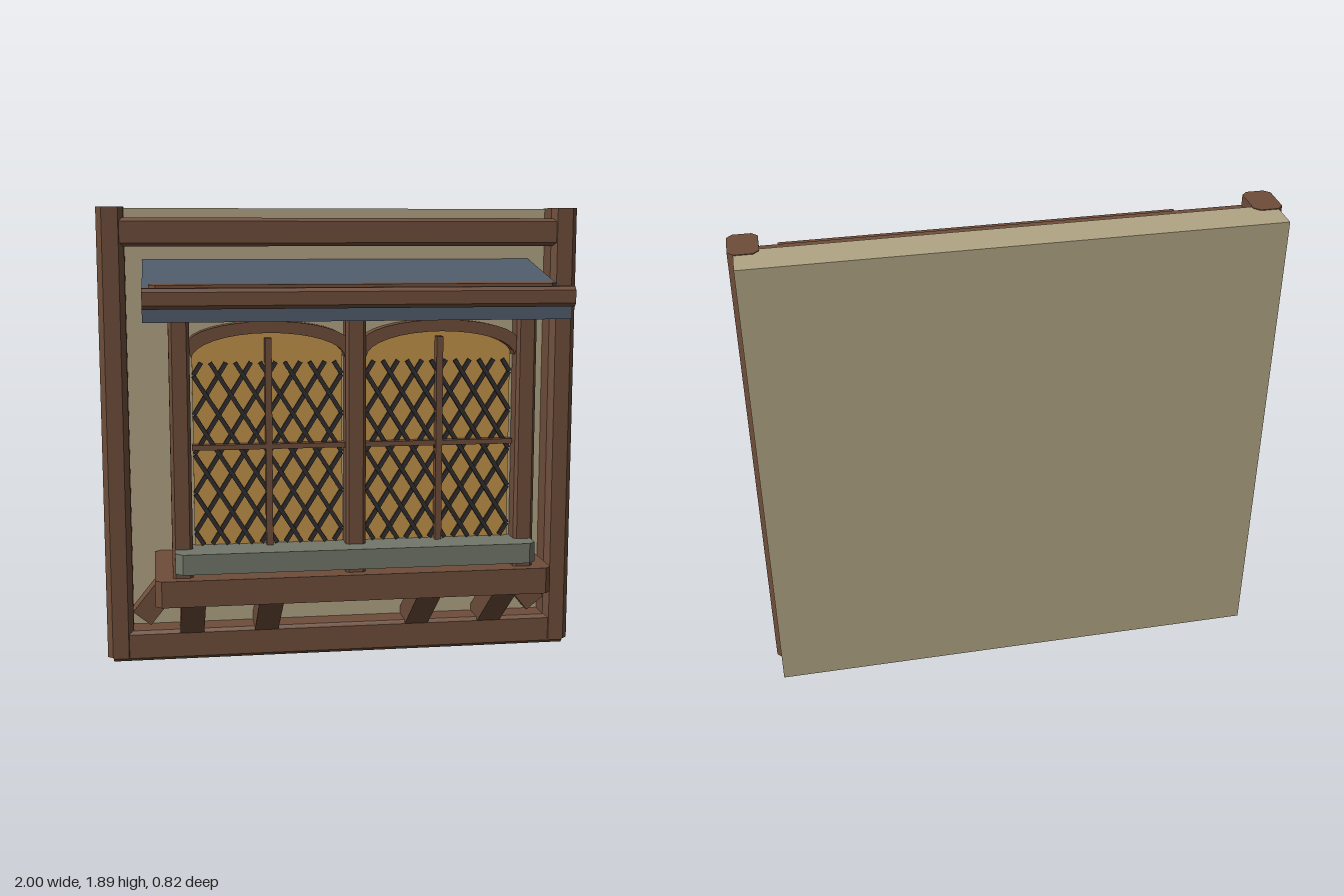
import * as THREE from 'three';

const mat = (name, color) => {
  const m = new THREE.MeshStandardMaterial({ color });
  m.name = name;
  return m;
};

export function createModel() {
  const model = new THREE.Group();
  model.name = 'bayWindow';
  const wood = mat('brown wood', 0x6e4d3a);
  const plaster = mat('tan plaster', 0xb2a585);
  const slate = mat('blue slate', 0x515c6b);
  const stone = mat('grey stone', 0x73776a);
  const glass = mat('amber glass', 0xc2934a);
  const lead = mat('dark lead', 0x302d2d);

  const add = (name, geometry, material) => {
    const mesh = new THREE.Mesh(geometry, material);
    mesh.name = name;
    model.add(mesh);
    return mesh;
  };
  const box = (name, material, x0, x1, y0, y1, z0, z1) => {
    const g = new THREE.BoxGeometry(x1 - x0, y1 - y0, z1 - z0);
    g.translate((x0 + x1) / 2, (y0 + y1) / 2, (z0 + z1) / 2);
    return add(name, g, material);
  };
  const extrude = (points, depth) => {
    const shape = new THREE.Shape(points.map(([a, b]) => new THREE.Vector2(a, b)));
    const g = new THREE.ExtrudeGeometry(shape, { depth, bevelEnabled: false });
    return g.translate(0, 0, -depth / 2);
  };
  // Side profile given as (z, y), extruded across x
  const across = (points, width) => extrude(points, width).rotateY(-Math.PI / 2);

  // Timber with four chamfered edges running along the given axis
  const beam = (name, material, axis, x0, x1, y0, y1, z0, z1, c = 0.014) => {
    const w = x1 - x0, h = y1 - y0, d = z1 - z0;
    const section = (a, b) => {
      const p = a / 2, q = b / 2;
      return [[-p + c, -q], [p - c, -q], [p, -q + c], [p, q - c],
        [p - c, q], [-p + c, q], [-p, q - c], [-p, -q + c]];
    };
    const g = axis === 'x' ? across(section(d, h), w)
      : extrude(section(w, d), h).rotateX(-Math.PI / 2);
    g.translate((x0 + x1) / 2, (y0 + y1) / 2, (z0 + z1) / 2);
    return add(name, g, material);
  };

  // Wall and its timber surround
  box('wall', plaster, -0.98, 0.98, 0.01, 1.89, -0.41, -0.262);
  beam('topRail', wood, 'x', -0.95, 0.95, 1.735, 1.85, -0.267, -0.143);
  beam('bottomRail', wood, 'x', -0.975, 0.975, 0, 0.13, -0.295, -0.143);
  for (const s of [-1, 1]) {
    const x = s * 0.945;
    beam('framePost', wood, 'y', x - 0.055, x + 0.055, 0.02, 1.893, -0.3, -0.14, 0.022);
  }

  // Bay body between its floor and header slabs
  box('bayBody', plaster, -0.68, 0.68, 0.44, 1.5, -0.265, 0.14);
  beam('baySlab', wood, 'y', -0.795, 0.795, 0.345, 0.45, -0.265, 0.27, 0.025);
  beam('bayHeader', wood, 'y', -0.795, 0.795, 1.49, 1.595, -0.265, 0.265, 0.025);
  beam('sill', stone, 'y', -0.715, 0.715, 0.485, 0.565, 0.13, 0.315, 0.028);
  for (const x of [-0.685, 0, 0.685]) {
    beam('bayPost', wood, 'y', x - 0.04, x + 0.04, 0.45, 1.5, 0.135, 0.225, 0.012);
  }

  // Lean-to roof with a front fascia beam
  add('roof', across([[0.365, 1.46], [0.365, 1.545], [-0.262, 1.68], [-0.262, 1.595]], 1.64), slate);
  beam('fascia', wood, 'x', -0.82, 0.82, 1.51, 1.587, 0.325, 0.412);

  // Sloping braces under the bay
  for (const x of [-0.645, -0.33, 0.32, 0.64]) {
    const brace = across([[0.18, 0.35], [0, 0.35], [-0.262, 0.16], [-0.262, 0.03]], 0.1);
    add('underBrace', brace.translate(x, 0, 0), wood);
  }

  // Diagonal braces flat against the wall
  for (const s of [-1, 1]) {
    const g = new THREE.BoxGeometry(0.095, 0.29, 0.1);
    g.rotateZ(s * 0.68).translate(s * 0.763, 0.294, -0.21);
    add('sideBrace', g, wood);
  }

  // Arc points over one window opening
  const arc = (cx, y, rx, ry) => Array.from({ length: 17 }, (_, i) => {
    const t = Math.PI * i / 16;
    return [cx + rx * Math.cos(t), y + ry * Math.sin(t)];
  });

  // One lattice bar through (px, py), clipped to the opening
  const latticeBar = (px, py, slope, [x0, x1, y0, y1], z) => {
    const ends = [y0, y1].map((y) => px + (y - py) / slope);
    const a = Math.max(x0, Math.min(...ends));
    const b = Math.min(x1, Math.max(...ends));
    if (b - a < 0.02) return;
    const length = (b - a) * Math.hypot(1, slope);
    const g = new THREE.BoxGeometry(length, 0.017, 0.012);
    g.rotateZ(Math.atan(slope));
    g.translate((a + b) / 2, py + slope * ((a + b) / 2 - px), z);
    add('latticeBar', g, lead);
  };

  // Two arched windows
  for (const cx of [-0.34, 0.34]) {
    const pane = [[cx - 0.295, 0.55], [cx + 0.295, 0.55], ...arc(cx, 1.32, 0.295, 0.095)];
    add('pane', extrude(pane, 0.008).translate(0, 0, 0.145), glass);

    const arch = [...arc(cx, 1.365, 0.315, 0.087), ...arc(cx, 1.31, 0.298, 0.097).reverse()];
    add('archHead', extrude(arch, 0.07).translate(0, 0, 0.175), wood);

    box('verticalBar', wood, cx - 0.013, cx + 0.013, 0.56, 1.385, 0.145, 0.19);
    box('crossBar', wood, cx - 0.3, cx + 0.3, 0.95, 0.97, 0.145, 0.187);

    const area = [cx - 0.29, cx + 0.29, 0.57, 1.29];
    for (let i = -8; i <= 8; i++) {
      const x = cx + i * 0.097;
      latticeBar(x, 0.93, 1.6, area, 0.158);
      latticeBar(x, 0.93, -1.6, area, 0.166);
    }
  }

  return model;
}
